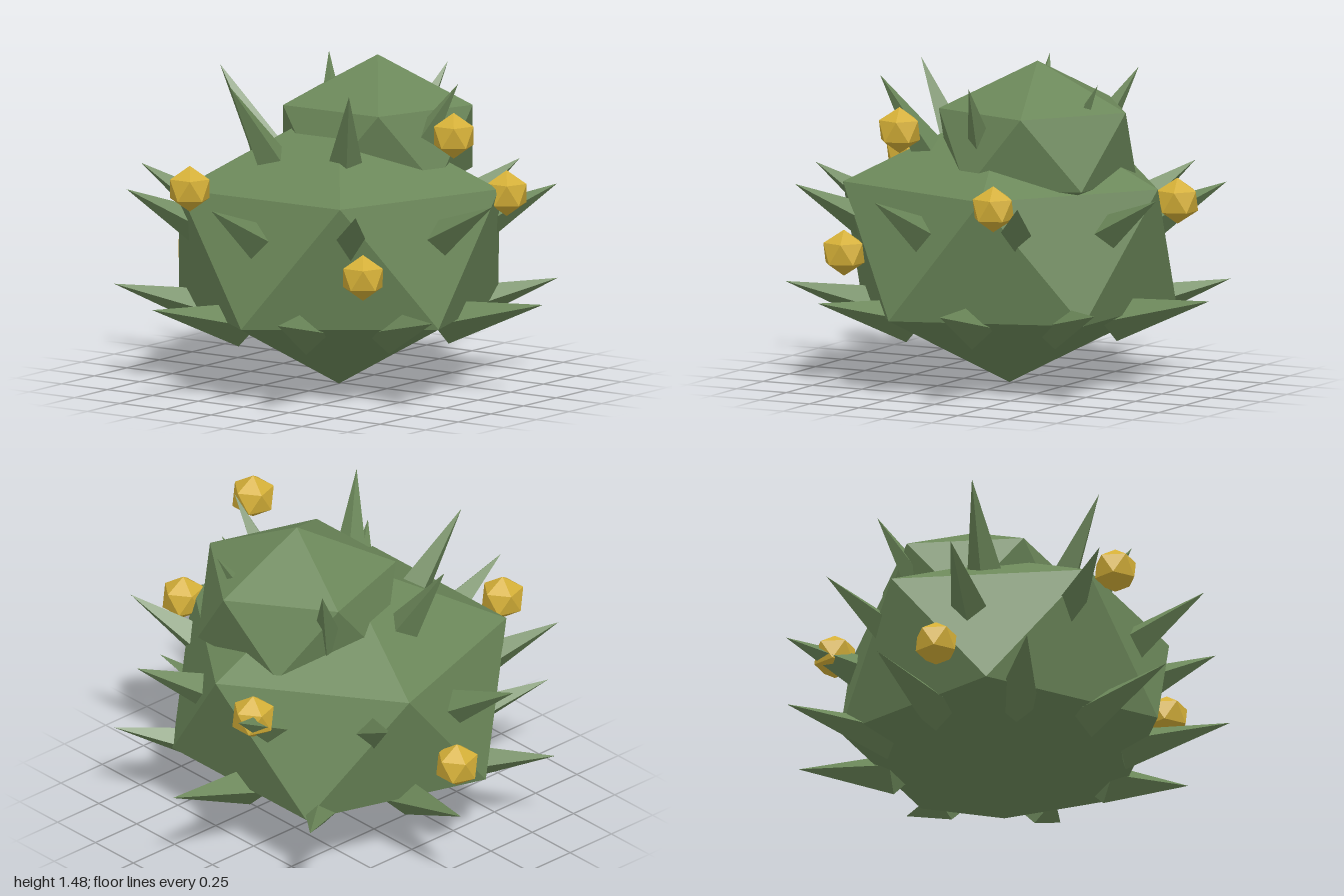
import * as THREE from 'three';

const green = new THREE.MeshStandardMaterial({ name: 'cactusGreen', color: 0x6b8759, flatShading: true });
const gold = new THREE.MeshStandardMaterial({ name: 'budGold', color: 0xd4af37, flatShading: true });

const CX = -0.02; // axis of the main body

// Icosahedron standing on one corner, with an upper-ring corner towards +x
function uprightIcosahedron(rx, ry) {
  const g = new THREE.IcosahedronGeometry(1, 0);
  g.rotateZ(-Math.atan(2 / (1 + Math.sqrt(5))));
  g.scale(rx, ry, rx);
  return g;
}

function add(group, name, geometry, material, x, y, z) {
  const mesh = new THREE.Mesh(geometry, material);
  mesh.name = name;
  mesh.position.set(x, y, z);
  group.add(mesh);
}

// Ring of four-sided spikes; base and tip are [distance from axis, height]
function spikeRing(name, count, startDeg, base, tip, radius) {
  const ring = new THREE.Group();
  ring.name = name;
  const dx = tip[0] - base[0], dy = tip[1] - base[1];
  const length = Math.hypot(dx, dy);
  const cone = new THREE.ConeGeometry(radius, length, 4);
  cone.translate(0, length / 2, 0);
  cone.rotateZ(Math.atan2(dy, dx) - Math.PI / 2);
  cone.translate(base[0], base[1], 0);
  for (let i = 0; i < count; i++) {
    const spike = new THREE.Mesh(cone, green);
    spike.name = 'spike';
    spike.rotation.y = -THREE.MathUtils.degToRad(startDeg + (i * 360) / count);
    ring.add(spike);
  }
  ring.position.x = CX;
  return ring;
}

export function createModel() {
  const model = new THREE.Group();
  model.name = 'spikyPlant';

  // Squashed main body and the smaller lobe on top
  add(model, 'body', uprightIcosahedron(0.839, 0.637), green, CX, 0.642, 0);
  add(model, 'topLobe', uprightIcosahedron(0.498, 0.371), green, 0.165, 1.109, 0.08);

  // Three rows of spikes
  model.add(spikeRing('lowerSpikes', 9, 0, [0.52, 0.325], [1.01, 0.44], 0.1));
  model.add(spikeRing('middleSpikes', 9, 20, [0.63, 0.74], [0.979, 0.93], 0.085));
  model.add(spikeRing('upperSpikes', 6, 20, [0.36, 1.05], [0.59, 1.41], 0.08));

  // Round buds scattered over the body
  const bud = uprightIcosahedron(0.104, 0.104);
  const spots = [
    [-0.18, 1.23, 0.745], [-0.71, 0.955, -0.325], [-0.575, 0.62, 0.53],
    [0.275, 0.9, 0.71], [0.71, 0.845, -0.225], [-0.03, 0.54, -0.765],
  ];
  for (const [x, y, z] of spots) add(model, 'bud', bud, gold, x, y, z);

  return model;
}
